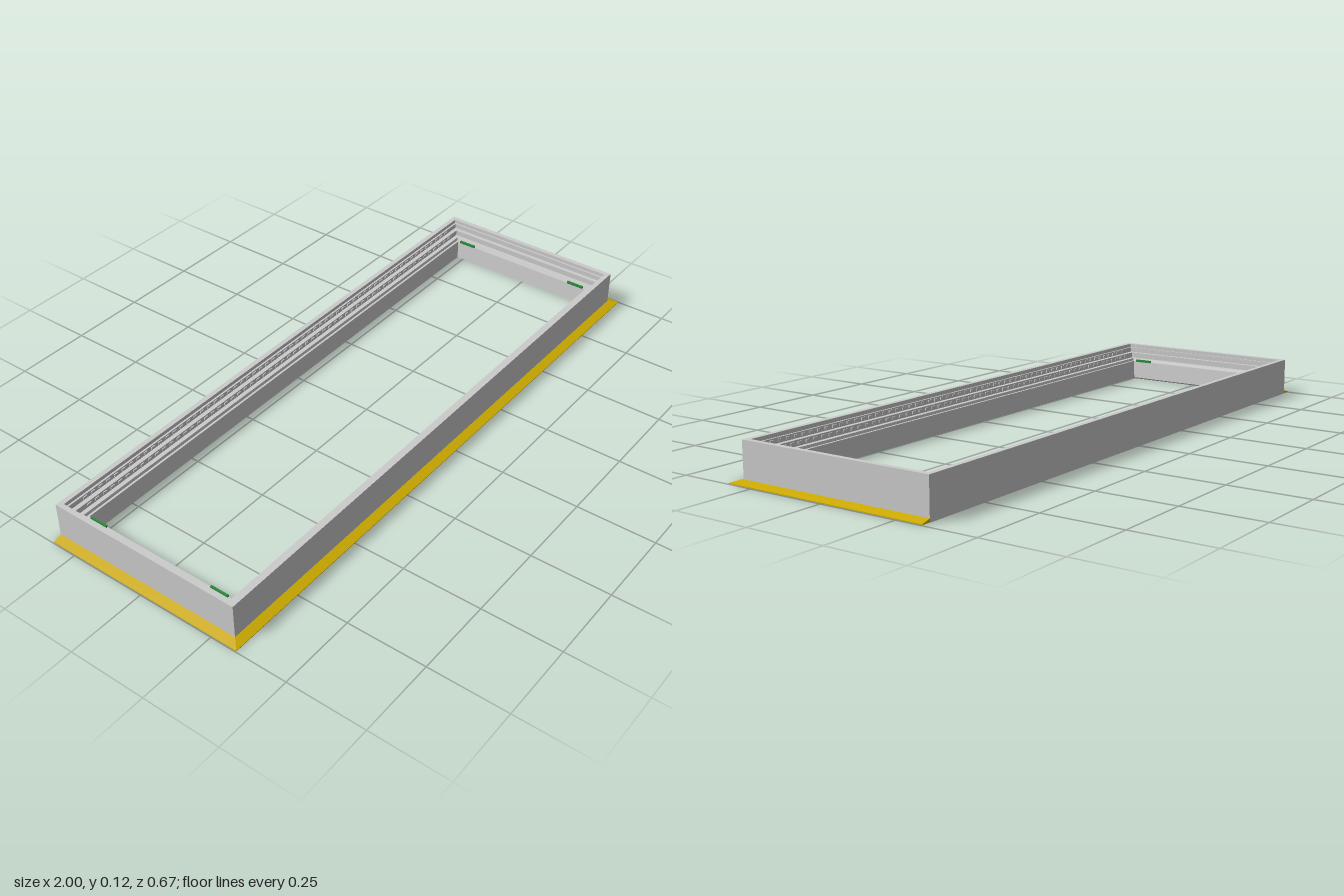
import * as THREE from 'three';
import { mergeGeometries } from 'three/addons/utils/BufferGeometryUtils.js';

const HX = 0.97, HZ = 0.32, ZC = -0.013; // outer half sizes of the frame, and its centre in z

// Sweeps a profile of [inset, y] points through mitred corners.
// Each corner is [xSign, zSign, zInset], where zInset 0 gives a square-cut end.
function sweep(profile, corners, closed) {
  const pos = [];
  const at = ([sx, sz, k], [d, y]) => [sx * (HX - d), y, ZC + sz * (HZ - d * k)];
  const n = profile.length;
  const spans = closed ? corners.length : corners.length - 1;
  for (let j = 0; j < spans; j++) {
    const c = corners[j], e = corners[(j + 1) % corners.length];
    for (let i = 0; i < n; i++) {
      const p = profile[i], q = profile[(i + 1) % n];
      pos.push(...at(c, p), ...at(e, p), ...at(e, q), ...at(c, p), ...at(e, q), ...at(c, q));
    }
  }
  if (!closed) {
    for (const c of [corners[0], corners[corners.length - 1]]) {
      for (let i = 1; i < n - 1; i++) pos.push(...at(c, profile[0]), ...at(c, profile[i]), ...at(c, profile[i + 1]));
    }
  }
  const g = new THREE.BufferGeometry();
  g.setAttribute('position', new THREE.Float32BufferAttribute(pos, 3));
  g.computeVertexNormals();
  return g;
}

export function createModel() {
  const group = new THREE.Group();
  const mat = (color) => new THREE.MeshStandardMaterial({ color, flatShading: true, side: THREE.DoubleSide });
  const grey = mat(0xcccccc), yellow = mat(0xccaa00), green = mat(0x2a8c3a);
  const add = (name, geometry, material) => {
    const m = new THREE.Mesh(geometry, material);
    m.name = name;
    group.add(m);
  };

  // Stepped frame: outer wall, rim, two ledges, inner lip and grooved underside
  const frameProfile = [
    [0, 0], [0, 0.12], [0.016, 0.12], [0.016, 0.108], [0.022, 0.108], [0.022, 0.092],
    [0.036, 0.092], [0.036, 0.074], [0.05, 0.074], [0.053, 0.066], [0.06, 0.066],
    [0.065, 0.006], [0.052, 0], [0.046, 0], [0.046, 0.012], [0.018, 0.012], [0.018, 0],
  ];
  add('frame', sweep(frameProfile, [[-1, 1, 1], [1, 1, 1], [1, -1, 1], [-1, -1, 1]], true), grey);

  // Sloping trim round the front and both ends, square-cut at the back
  const trimProfile = [[-0.028, 0.001], [-0.028, 0.003], [0, 0.011], [0, 0.001]];
  add('trim', sweep(trimProfile, [[-1, -1, 0], [-1, 1, 1], [1, 1, 1], [1, -1, 0]], false), yellow);

  // Row of small ribs on the upper steps of both long walls
  const ribs = [];
  for (const s of [-1, 1]) {
    for (let i = 0; i < 60; i++) {
      const x = -0.885 + i * 0.03;
      for (const [d, y] of [[0.022, 0.1], [0.036, 0.083]]) {
        ribs.push(new THREE.BoxGeometry(0.014, 0.008, 0.004).translate(x, y, ZC + s * (HZ - d - 0.001)));
      }
    }
  }
  add('ribs', mergeGeometries(ribs), grey);

  // Corner clips on the lip of the short sides
  const clips = [];
  for (const sx of [-1, 1]) {
    for (const sz of [-1, 1]) {
      clips.push(new THREE.BoxGeometry(0.006, 0.008, 0.06).translate(sx * 0.912, 0.068, ZC + sz * 0.22));
    }
  }
  add('cornerClips', mergeGeometries(clips), green);

  return group;
}
